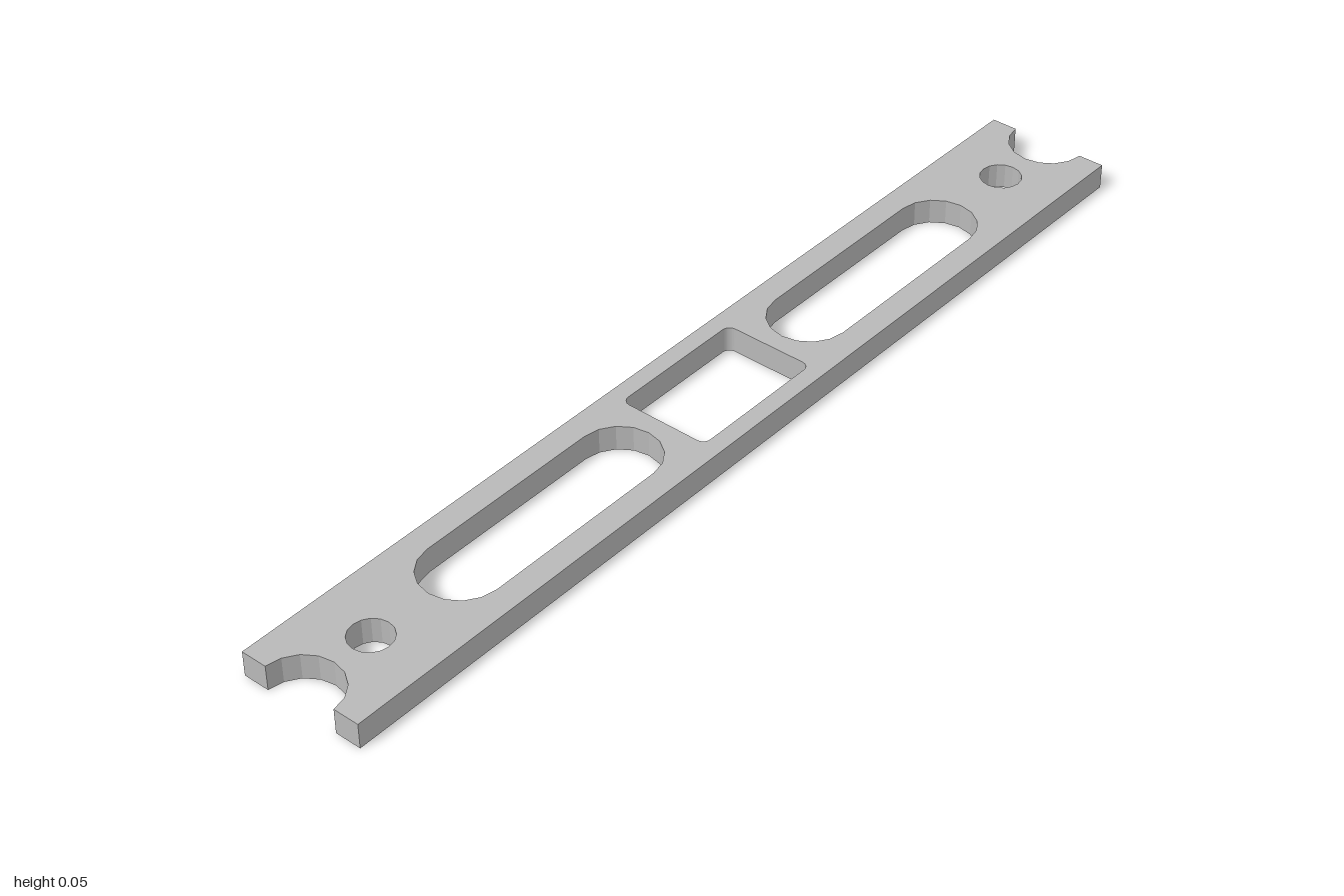
import * as THREE from 'three';

const HALF_LENGTH = 1, HALF_WIDTH = 0.127, THICKNESS = 0.05;
const NOTCH_R = 0.075;

// Rounded rectangular opening; radius equal to hz gives a slot or a circle
function opening(cx, hx, hz, r) {
  const p = new THREE.Path();
  const q = Math.PI / 2;
  const ix = hx - r, iz = hz - r;
  if (iz > 0) {
    [[1, -1, 3], [1, 1, 0], [-1, 1, 1], [-1, -1, 2]].forEach(([sx, sz, k]) =>
      p.absarc(cx + sx * ix, sz * iz, r, k * q, (k + 1) * q, false));
  } else {
    p.absarc(cx + ix, 0, r, -q, q, false);
    p.absarc(cx - ix, 0, r, q, 3 * q, false);
  }
  p.closePath();
  return p;
}

export function createModel() {
  const group = new THREE.Group();
  group.name = 'slottedBar';
  const grey = new THREE.MeshStandardMaterial({ color: 0xb8b8b8 });
  grey.name = 'plain grey';

  // Outline with a half-round notch in each end
  const outline = new THREE.Shape();
  outline.moveTo(-HALF_LENGTH, -HALF_WIDTH);
  outline.lineTo(HALF_LENGTH, -HALF_WIDTH);
  outline.lineTo(HALF_LENGTH, -NOTCH_R);
  outline.absarc(HALF_LENGTH, 0, NOTCH_R, -Math.PI / 2, -Math.PI * 1.5, true);
  outline.lineTo(HALF_LENGTH, HALF_WIDTH);
  outline.lineTo(-HALF_LENGTH, HALF_WIDTH);
  outline.lineTo(-HALF_LENGTH, NOTCH_R);
  outline.absarc(-HALF_LENGTH, 0, NOTCH_R, Math.PI / 2, -Math.PI / 2, true);
  outline.closePath();

  // Central window, then a long slot and a screw hole on each side
  outline.holes.push(opening(0, 0.143, 0.092, 0.016));
  for (const side of [-1, 1]) {
    outline.holes.push(opening(side * 0.448, 0.268, 0.077, 0.077));
    outline.holes.push(opening(side * 0.845, 0.04, 0.04, 0.04));
  }

  const geometry = new THREE.ExtrudeGeometry(outline, {
    depth: THICKNESS, bevelEnabled: false, curveSegments: 4,
  });
  geometry.rotateX(-Math.PI / 2);
  const bar = new THREE.Mesh(geometry, grey);
  bar.name = 'bar';
  group.add(bar);
  return group;
}
